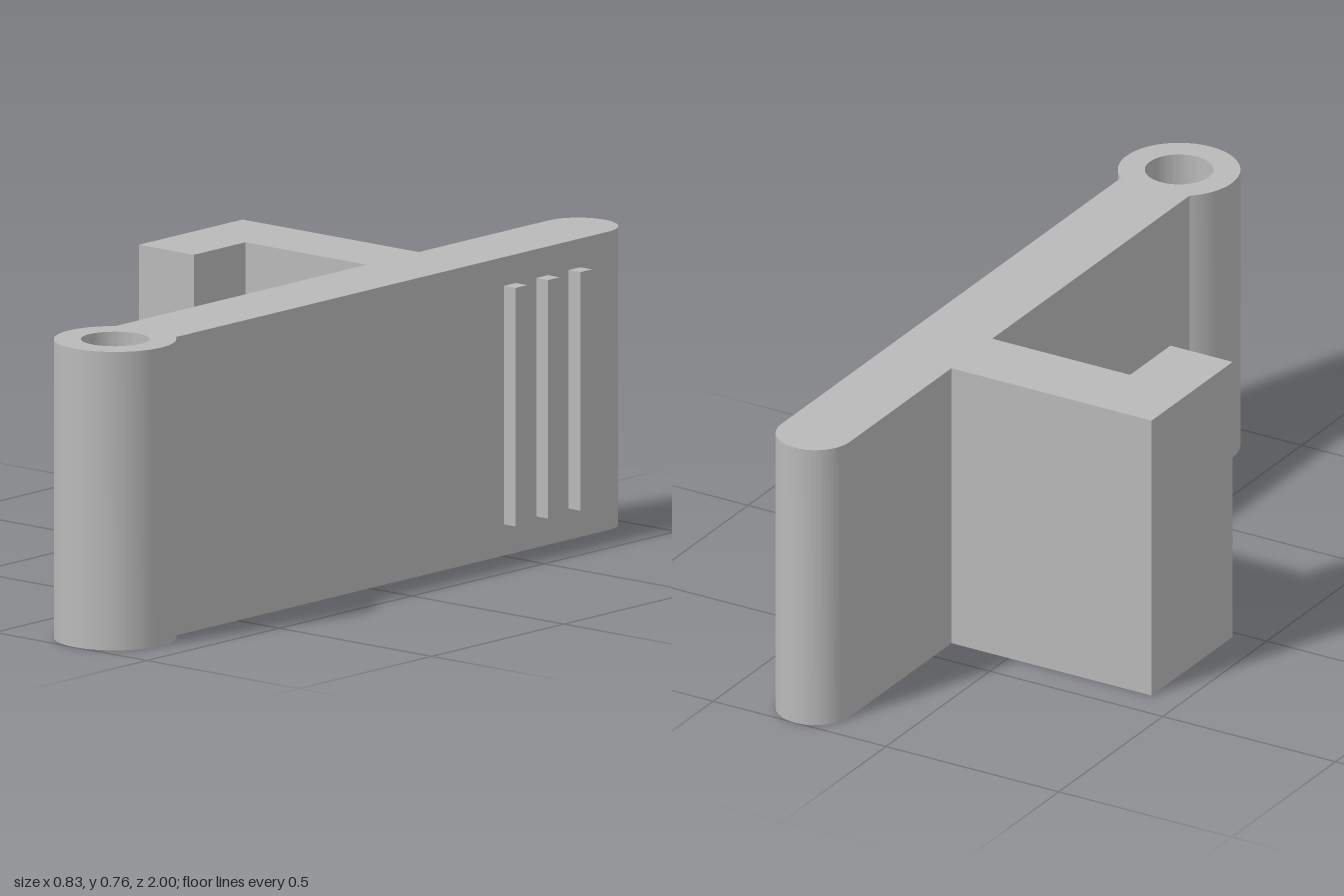
import * as THREE from 'three';
import { toCreasedNormals } from 'three/addons/utils/BufferGeometryUtils.js';

const HEIGHT = 0.757;
const CX = 0.263;        // centre line of the arm
const HALF = 0.099;      // half the arm thickness
const RING_Z = 0.848, RING_R = 0.152, HOLE_R = 0.085;

// Extrude a plan outline (x, -z) upwards, smooth on curves and sharp at corners
function extrudeUp(shape, height) {
  const geo = new THREE.ExtrudeGeometry(shape, { depth: height, bevelEnabled: false, curveSegments: 32 });
  geo.rotateX(-Math.PI / 2);
  return toCreasedNormals(geo, 0.5);
}

export function createModel() {
  const model = new THREE.Group();
  model.name = 'hingedLatch';
  const grey = new THREE.MeshStandardMaterial({ color: 0xb9b9b9 });
  grey.name = 'grey';

  const add = (name, geo, parent = model) => {
    const mesh = new THREE.Mesh(geo, grey);
    mesh.name = name;
    parent.add(mesh);
    return mesh;
  };

  // Long arm with a rounded rear end, meeting the ring at its front end
  const joinZ = RING_Z - Math.sqrt(RING_R ** 2 - HALF ** 2);
  const arm = new THREE.Shape();
  arm.moveTo(CX - HALF, -joinZ);
  arm.lineTo(CX + HALF, -joinZ);
  arm.lineTo(CX + HALF, 1 - HALF);
  arm.absarc(CX, 1 - HALF, HALF, 0, Math.PI, false);
  arm.closePath();
  add('arm', extrudeUp(arm, HEIGHT));

  // Pivot ring with a pin hole right through it
  const ring = new THREE.Shape();
  ring.absarc(CX, -RING_Z, RING_R, 0, Math.PI * 2, false);
  const hole = new THREE.Path();
  hole.absarc(CX, -RING_Z, HOLE_R, 0, Math.PI * 2, true);
  ring.holes.push(hole);
  add('pivotRing', extrudeUp(ring, HEIGHT));

  // L-shaped hook on the right side of the arm, listed as [x, z]
  const hook = new THREE.Shape([
    [CX - HALF, -0.412], [-0.415, -0.412], [-0.415, -0.022],
    [-0.235, -0.022], [-0.235, -0.216], [CX - HALF, -0.216],
  ].map(([x, z]) => new THREE.Vector2(x, -z)));
  add('hook', extrudeUp(hook, HEIGHT));

  // Three upright grip ribs on the outer face
  const ribs = new THREE.Group();
  ribs.name = 'gripRibs';
  model.add(ribs);
  for (let i = 0; i < 3; i++) {
    const rib = add('gripRib' + (i + 1), new THREE.BoxGeometry(0.038, 0.605, 0.044), ribs);
    rib.position.set(CX + HALF + 0.019, HEIGHT / 2 + 0.003, -0.529 - i * 0.122);
  }
  return model;
}
